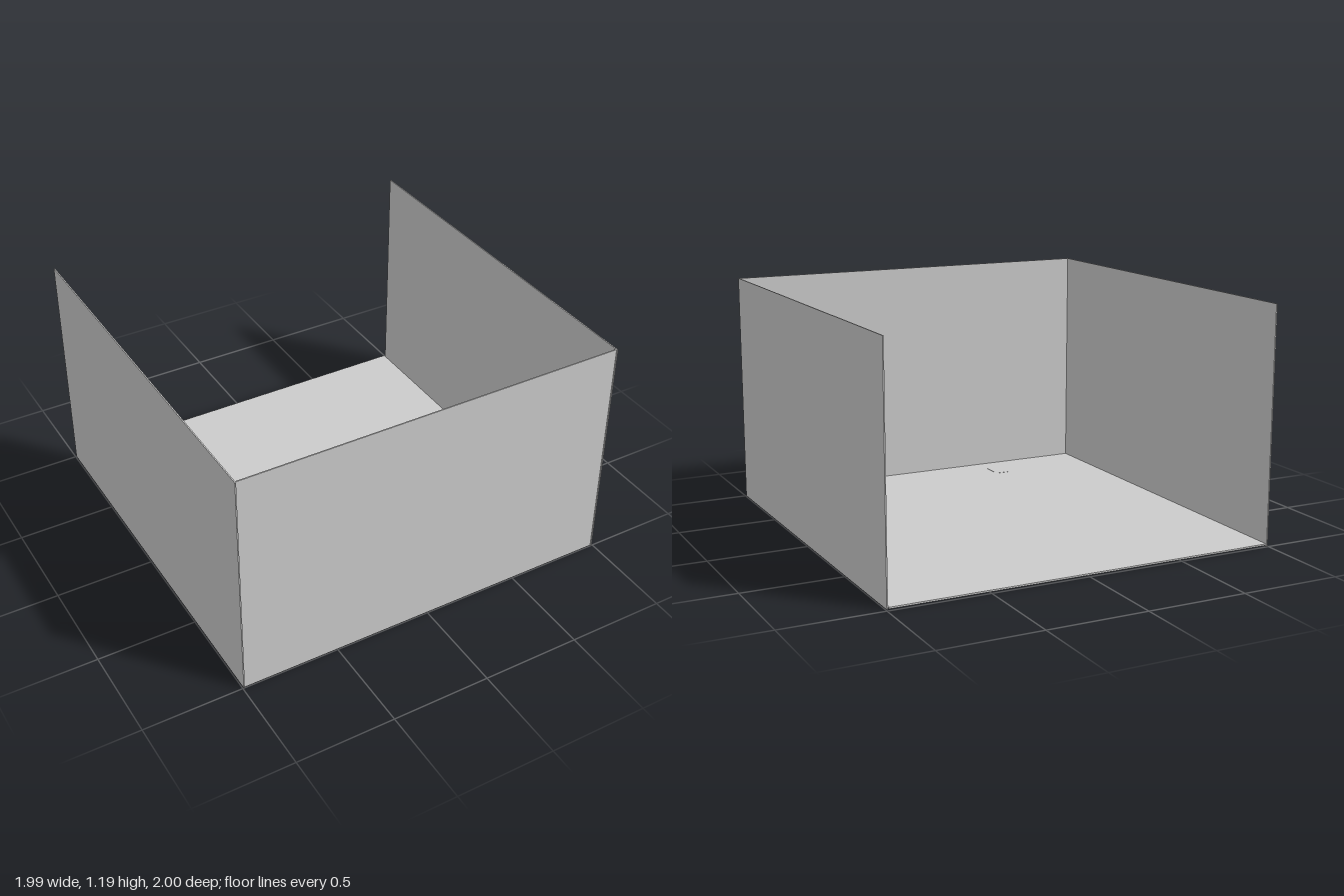
import * as THREE from 'three';

const W = 1.99, H = 1.19, T = 0.006; // room width, wall height, panel thickness

export function createModel() {
  const room = new THREE.Group();
  room.name = 'openRoom';
  const material = new THREE.MeshStandardMaterial({ color: 0xcccccc, flatShading: true });

  // Adds a box given its lower and upper corners
  function panel(name, min, max) {
    const size = max.map((v, i) => v - min[i]);
    const mesh = new THREE.Mesh(new THREE.BoxGeometry(...size), material);
    mesh.position.set(...max.map((v, i) => (v + min[i]) / 2));
    mesh.name = name;
    room.add(mesh);
  }

  const x = W / 2;
  // Floor, raised slightly above the lower rim of the walls
  panel('floor', [-x + T, 0.006, -0.995], [x - T, 0.014, 0.99]);
  // Small plate lying almost flush in the floor
  panel('floorPlate', [-0.49, 0.008, 0.765], [-0.41, 0.015, 0.885]);
  // Walls on three sides; the back and top stay open
  panel('frontWall', [-x + T, 0, 0.99], [x - T, H, 0.99 + T]);
  panel('leftWall', [x - T, 0, -0.985], [x, H, 1]);
  panel('rightWall', [-x, 0, -1], [-x + T, H, 1]);

  return room;
}
